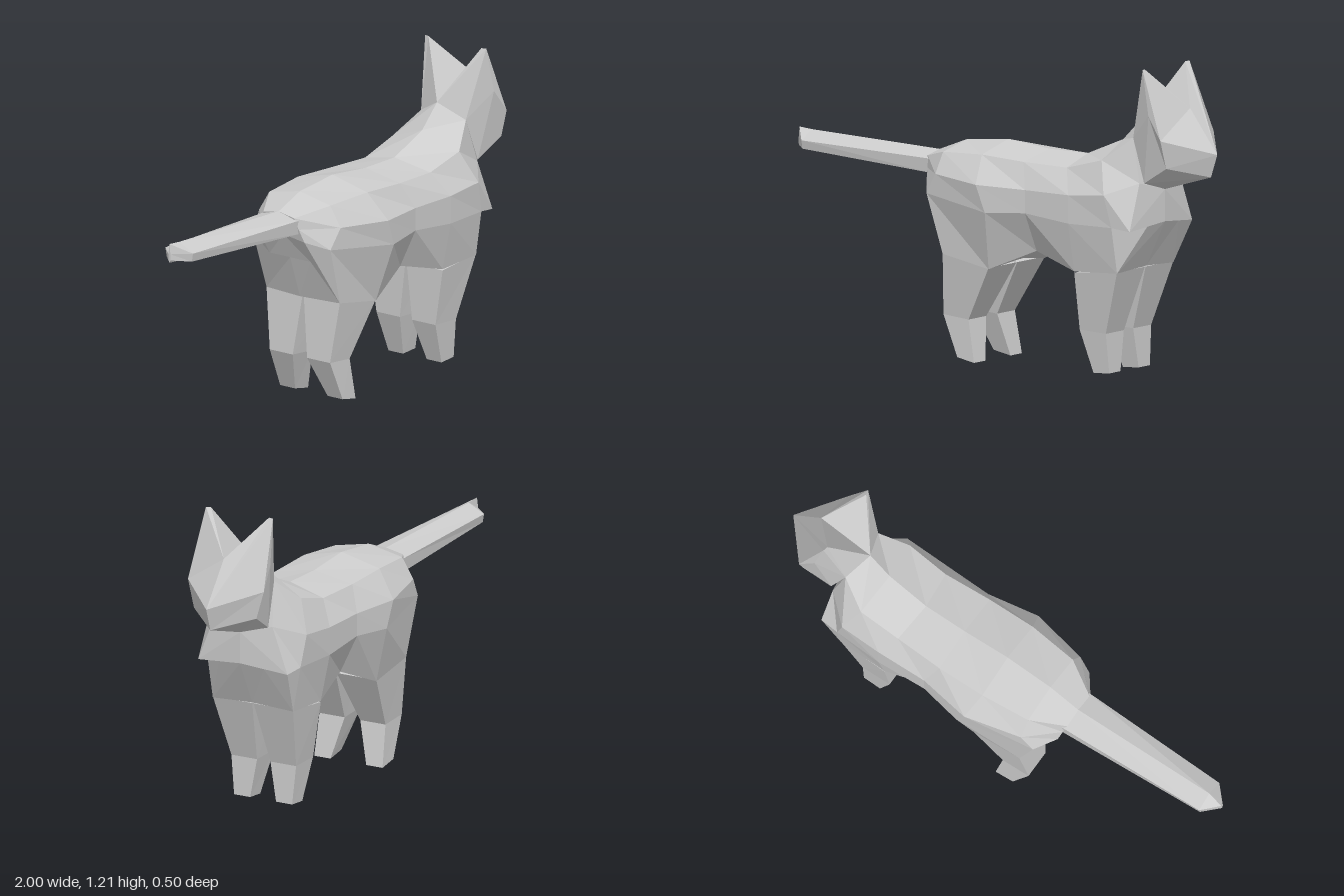
import * as THREE from 'three';

const material = new THREE.MeshStandardMaterial({ color: 0xcccccc, flatShading: true });

// Flat-shaded mesh from polygons (each an array of [x, y, z] corners, fanned)
function polyMesh(name, polygons) {
  const positions = [];
  for (const p of polygons) {
    for (let i = 1; i < p.length - 1; i++) positions.push(...p[0], ...p[i], ...p[i + 1]);
  }
  const geometry = new THREE.BufferGeometry();
  geometry.setAttribute('position', new THREE.Float32BufferAttribute(positions, 3));
  geometry.computeVertexNormals();
  const mesh = new THREE.Mesh(geometry, material);
  mesh.name = name;
  return mesh;
}

const flip = ([x, y, z]) => [x, y, -z];

// Closed ring from a half profile running top centre, +z side, bottom centre
const fullRing = (half) => [...half, ...half.slice(1, -1).reverse().map(flip)];

// Skin between rings; each end is fanned around its centre or a given point
function loft(name, rings, startPoint, endPoint) {
  const polygons = [];
  const n = rings[0].length;
  const centre = (r) => [0, 1, 2].map((a) => r.reduce((s, p) => s + p[a], 0) / n);
  const first = rings[0], last = rings[rings.length - 1];
  const c0 = startPoint ?? centre(first), c1 = endPoint ?? centre(last);
  for (let k = 0; k < n; k++) {
    const j = (k + 1) % n;
    for (let i = 0; i < rings.length - 1; i++) {
      polygons.push([rings[i][k], rings[i][j], rings[i + 1][j], rings[i + 1][k]]);
    }
    polygons.push([c0, first[j], first[k]], [c1, last[k], last[j]]);
  }
  return polyMesh(name, polygons);
}

// Torso: rump to chest; points are spine, back ridge, flank, lower flank, belly edge, belly
function makeBody() {
  const halves = [
    [[-0.33, 0.79, 0], [-0.33, 0.775, 0.075], [-0.32, 0.73, 0.09], [-0.31, 0.68, 0.11], [-0.26, 0.59, 0.1], [-0.26, 0.59, 0]],
    [[-0.2, 0.84, 0], [-0.2, 0.81, 0.15], [-0.2, 0.73, 0.2], [-0.25, 0.65, 0.19], [-0.18, 0.42, 0.18], [-0.2, 0.42, 0]],
    [[0, 0.86, 0], [0, 0.82, 0.17], [0.03, 0.715, 0.25], [0.07, 0.61, 0.245], [0.04, 0.38, 0.18], [0.04, 0.4, 0]],
    [[0.2, 0.84, 0], [0.2, 0.81, 0.17], [0.24, 0.71, 0.215], [0.24, 0.62, 0.215], [0.24, 0.465, 0.14], [0.24, 0.465, 0]],
    [[0.38, 0.84, 0], [0.4, 0.805, 0.16], [0.45, 0.71, 0.22], [0.45, 0.6, 0.22], [0.45, 0.41, 0.18], [0.45, 0.44, 0]],
    [[0.55, 0.91, 0], [0.57, 0.85, 0.165], [0.62, 0.725, 0.22], [0.65, 0.6, 0.21], [0.655, 0.42, 0.18], [0.66, 0.43, 0]],
    [[0.64, 1.0, 0], [0.68, 0.94, 0.11], [0.725, 0.77, 0.13], [0.73, 0.59, 0.2], [0.74, 0.6, 0.1], [0.75, 0.61, 0]],
  ];
  return loft('body', halves.map(fullRing), null, [0.75, 0.735, 0]);
}

// Tail: nearly straight, ending in an upright wedge
function makeTail() {
  const halves = [
    [[-1, 0.815, 0], [-1, 0.775, 0.005], [-1, 0.75, 0.005], [-1, 0.74, 0]],
    [[-0.94, 0.81, 0], [-0.94, 0.775, 0.068], [-0.94, 0.742, 0.062], [-0.94, 0.735, 0]],
    [[-0.31, 0.79, 0], [-0.31, 0.765, 0.088], [-0.31, 0.71, 0.085], [-0.31, 0.695, 0]],
  ];
  return loft('tail', halves.map(fullRing));
}

// Leg: levels from paw up, each [xBack, yBack, xFront, yFront, zInner, zOuter]
function makeLeg(name, levels, side) {
  const rings = levels.map(([xb, yb, xf, yf, zi, zo]) => {
    const [z0, z1] = side > 0 ? [zi, zo] : [-zo, -zi];
    return [[xf, yf, z1], [xf, yf, z0], [xb, yb, z0], [xb, yb, z1]];
  });
  return loft(name, rings);
}

// Head: one half listed as faces, then mirrored
function makeHead() {
  const crown = [0.64, 1.0, 0], forehead = [0.87, 1.06, 0], nose = [1, 0.89, 0];
  const chin = [0.97, 0.8, 0], throat = [0.75, 0.735, 0];
  const earInner = [0.75, 1.215, 0.13], earOuter = [0.755, 1.215, 0.15];
  const earBase = [0.79, 1.04, 0.16], brow = [0.855, 0.95, 0.17];
  const cheek = [0.86, 0.84, 0.14], jaw = [0.74, 0.77, 0.12], nape = [0.68, 0.94, 0.11];
  const half = [
    [crown, earInner, forehead],
    [forehead, earInner, earOuter, brow, nose],
    [earBase, earOuter, nape, jaw, cheek, brow, earOuter],
    [nose, brow, cheek, chin],
    [chin, cheek, jaw, throat],
    [crown, nape, earOuter, earInner],
    [throat, jaw, nape, crown],
  ];
  const mirrored = half.map((face) => face.map(flip).reverse());
  // Keep the side face fanned around the ear base after mirroring
  mirrored[2].unshift(mirrored[2].pop());
  return polyMesh('head', [...half, ...mirrored]);
}

export function createModel() {
  const group = new THREE.Group();
  group.name = 'cat';
  group.add(makeBody(), makeTail(), makeHead());

  const frontLevels = [
    [0.505, 0.015, 0.58, 0.02, 0.058, 0.13],
    [0.45, 0.18, 0.575, 0.175, 0.03, 0.145],
    [0.45, 0.405, 0.655, 0.425, 0.003, 0.18],
  ];
  const hindLevels = [
    [-0.13, 0.02, -0.05, 0.005, 0.08, 0.153],
    [-0.2, 0.18, -0.08, 0.17, 0.035, 0.148],
    [-0.18, 0.42, 0.04, 0.385, 0.003, 0.18],
  ];
  for (const [side, label] of [[1, 'Front'], [-1, 'Back']]) {
    const suffix = label === 'Front' ? 'Near' : 'Far';
    group.add(makeLeg('frontLeg' + suffix, frontLevels, side));
    group.add(makeLeg('hindLeg' + suffix, hindLevels, side));
  }
  return group;
}
